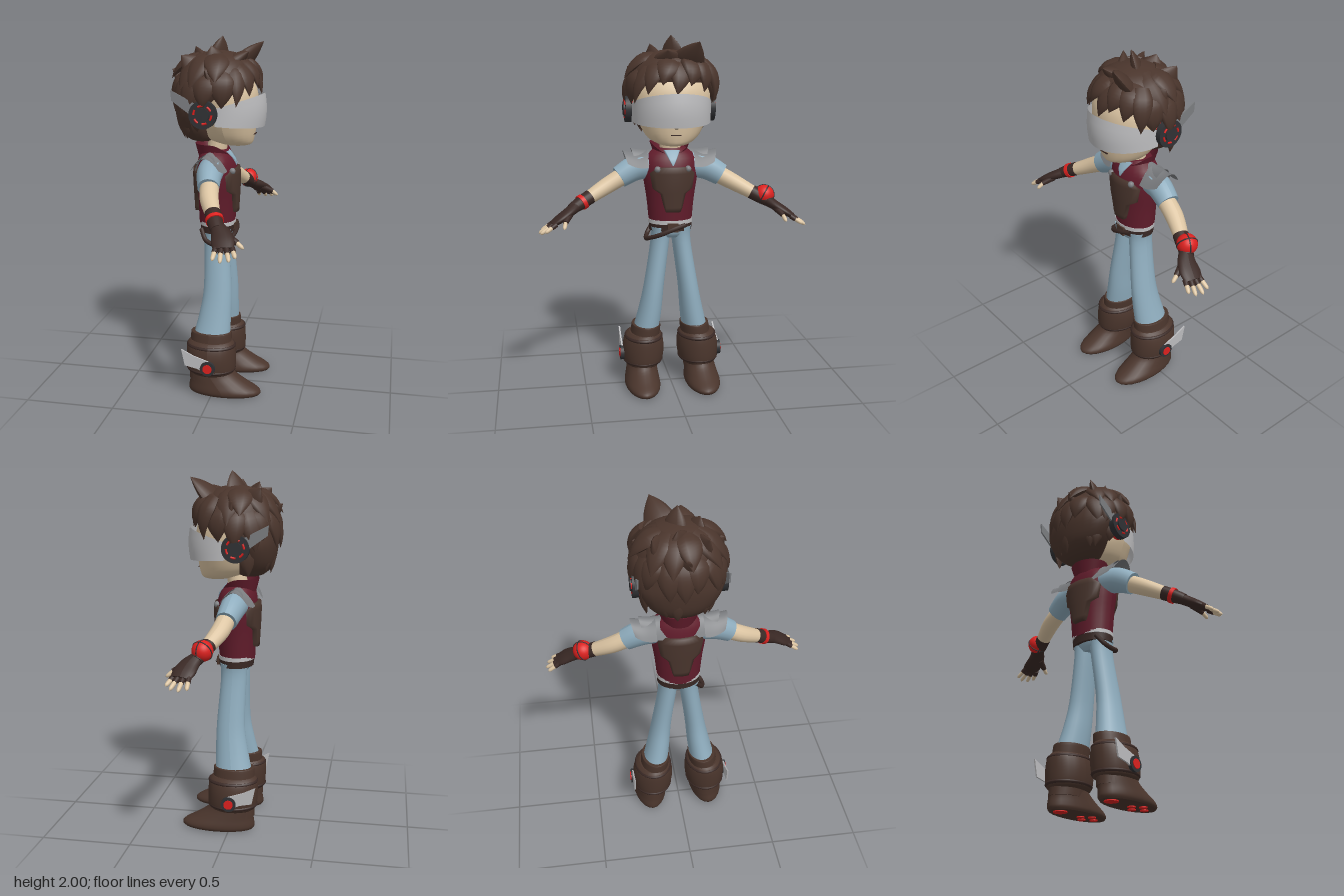
import * as THREE from 'three';

const mat = (name, color, side = THREE.FrontSide) => Object.assign(new THREE.MeshStandardMaterial({ color, side }), { name });
const V = (x, y, z) => new THREE.Vector3(x, y, z);

// Skin over elliptical rings [x, y, z, radiusU, radiusV]; level keeps the rings horizontal
function loft(rings, { ref = V(0, 0, 1), level = false, steps = 4, seg = 24 } = {}) {
  const at = i => rings[Math.min(Math.max(i, 0), rings.length - 1)];
  const list = [];
  for (let i = 0; i < rings.length - 1; i++) {
    for (let k = 0; k < steps; k++) {
      const t = k / steps, [a, b, c, d] = [at(i - 1), at(i), at(i + 1), at(i + 2)];
      list.push(b.map((_, j) => b[j] + 0.5 * t * (c[j] - a[j] + t * (2 * a[j] - 5 * b[j] + 4 * c[j] - d[j] + t * (3 * (b[j] - c[j]) + d[j] - a[j])))));
    }
  }
  list.push(at(rings.length));
  const pos = [], idx = [], n = list.length, w = seg + 1;
  const row = i => {
    const r = list[i], a = list[Math.max(i - 1, 0)], b = list[Math.min(i + 1, n - 1)];
    const t = level ? V(0, Math.sign(b[1] - a[1]), 0) : V(b[0] - a[0], b[1] - a[1], b[2] - a[2]).normalize();
    const u = ref.clone().cross(t).normalize(), v = t.clone().cross(u);
    for (let j = 0; j <= seg; j++) {
      const q = (j % seg) / seg * Math.PI * 2;
      const p = V(r[0], r[1], r[2]).addScaledVector(u, Math.cos(q) * Math.max(r[3], 0.0003)).addScaledVector(v, Math.sin(q) * Math.max(r[4], 0.0003));
      pos.push(p.x, p.y, p.z);
    }
  };
  for (let i = 0; i < n; i++) row(i);
  for (let i = 0; i < n - 1; i++) for (let j = 0; j < seg; j++) {
    const a = i * w + j, b = a + w;
    idx.push(a, a + 1, b + 1, a, b + 1, b);
  }
  for (const end of [0, n - 1]) {
    const s = pos.length / 3;
    row(end);
    pos.push(...list[end].slice(0, 3));
    for (let j = 0; j < seg; j++) idx.push(s + w, ...(end ? [s + j, s + j + 1] : [s + j + 1, s + j]));
  }
  const g = new THREE.BufferGeometry();
  g.setAttribute('position', new THREE.Float32BufferAttribute(pos, 3));
  g.setIndex(idx);
  g.computeVertexNormals();
  return g;
}

// Grid surface from a rule (u, v in 0..1) -> [x, y, z]
function sheet(nu, nv, rule) {
  const g = new THREE.PlaneGeometry(1, 1, nu, nv), p = g.attributes.position;
  for (let i = 0; i < p.count; i++) p.setXYZ(i, ...rule(p.getX(i) + 0.5, p.getY(i) + 0.5));
  g.computeVertexNormals();
  return g;
}

const torsoRings = [[0, 0.96, -0.01, 0.122, 0.1], [0, 1.1, -0.01, 0.135, 0.107], [0, 1.24, -0.01, 0.155, 0.115],
  [0, 1.33, -0.015, 0.15, 0.1], [0, 1.385, -0.025, 0.085, 0.07]];

// Plate hugging the torso; rows are [y, halfWidth], dir is 1 for front and -1 for back
function torsoPlate(rows, dir, thick) {
  const R = [rows[0], ...rows, rows[rows.length - 1]], n = R.length - 1, m = 12;
  return sheet(m, n, (u, v) => {
    const i = Math.round(v * n), j = Math.round(u * m), [y, w] = R[i];
    const edge = i === 0 || i === n || j === 0 || j === m;
    const x = w * dir * (Math.min(Math.max(j, 1), m - 1) - m / 2) / (m / 2 - 1);
    let k = torsoRings.findIndex(r => r[1] > y) - 1;
    const a = torsoRings[k], b = torsoRings[k + 1], f = (y - a[1]) / (b[1] - a[1]);
    const [cz, rx, rz] = [2, 3, 4].map(q => a[q] + (b[q] - a[q]) * f);
    return [x, y, cz + dir * (rz * Math.sqrt(Math.max(0, 1 - (x / rx) ** 2)) + (edge ? -0.005 : thick))];
  });
}

export function createModel() {
  const brown = mat('brown', 0x4a352c), dark = mat('dark brown leather', 0x3a2925), skin = mat('skin', 0xdcc5a3);
  const blue = mat('pale blue cloth', 0x8fadbe, THREE.DoubleSide), maroon = mat('maroon cloth', 0x611c2b, THREE.DoubleSide);
  const visorGrey = mat('light grey', 0xbcbcbe, THREE.DoubleSide), grey = mat('armour grey', 0x7b7d80, THREE.DoubleSide);
  const charcoal = mat('charcoal', 0x303134), red = mat('red', 0xdc211f), plateBrown = mat('plate brown', 0x49352d, THREE.DoubleSide);
  const body = new THREE.Group();
  body.name = 'figure';
  const add = (name, geo, m, x = 0, y = 0, z = 0) => {
    const o = new THREE.Mesh(geo, m);
    o.name = name;
    o.position.set(x, y, z);
    body.add(o);
    return o;
  };
  const flat = { level: true };
  const disc = (r, h) => new THREE.CylinderGeometry(r, r, h, 28).rotateZ(Math.PI / 2);
  // Thin upright plate drawn in side profile as [z, y] points
  const sidePlate = pts => new THREE.ExtrudeGeometry(new THREE.Shape(pts.map(p => new THREE.Vector2(...p))), { depth: 0.009, bevelEnabled: false }).rotateY(-Math.PI / 2);

  // Head
  add('head', loft([[0, 1.405, 0.1, 0, 0], [0, 1.415, 0.1, 0.07, 0.075], [0, 1.45, 0.065, 0.135, 0.13], [0, 1.52, 0.05, 0.178, 0.157],
    [0, 1.6, 0.05, 0.205, 0.165], [0, 1.72, 0.03, 0.21, 0.175], [0, 1.82, 0.02, 0.15, 0.12]], flat), skin);
  add('neck', loft([[0, 1.33, -0.02, 0.06, 0.055], [0, 1.47, 0, 0.058, 0.055]], flat), skin);
  add('nose', loft([[0, 1.57, 0.21, 0.006, 0.008], [0, 1.525, 0.213, 0.014, 0.018], [0, 1.505, 0.2, 0.008, 0.006]], flat), skin);
  add('mouth', new THREE.BoxGeometry(0.055, 0.005, 0.009), dark, 0, 1.475, 0.2);
  add('visor', sheet(32, 4, (u, v) => {
    const a = (u - 0.5) * Math.PI, c = Math.cos(a), lo = 1.535 - 0.018 * c, hi = 1.63 + 0.068 * c;
    return [0.218 * Math.sin(a), lo + (hi - lo) * v, 0.02 + (0.232 + 0.01 * Math.sin(v * Math.PI)) * c];
  }), visorGrey);
  for (const s of [-1, 1]) {
    add('earpiecePad', disc(0.07, 0.02), red, s * 0.208, 1.6, -0.04);
    add('earpiece', disc(0.075, 0.035), charcoal, s * 0.232, 1.6, -0.04);
    add('earpieceHub', disc(0.037, 0.012), charcoal, s * 0.253, 1.6, -0.04);
    for (let i = 0; i < 6; i++) {
      add('earpieceLight', new THREE.TorusGeometry(0.048, 0.006, 6, 8, 0.6).rotateZ(i * Math.PI / 3).rotateY(Math.PI / 2), red, s * 0.25, 1.6, -0.04);
    }
    add('earpieceFin', sidePlate([[-0.07, 1.57], [-0.07, 1.65], [-0.215, 1.725], [-0.21, 1.67]]), grey, s * 0.232 + 0.004);
  }

  // Hair: a cap covered with tapering locks
  add('hairCap', loft([[0, 1.425, -0.09, 0, 0], [0, 1.44, -0.09, 0.1, 0.07], [0, 1.5, -0.11, 0.17, 0.105], [0, 1.6, -0.115, 0.22, 0.12], [0, 1.68, -0.06, 0.235, 0.175],
    [0, 1.76, -0.015, 0.235, 0.205], [0, 1.84, -0.005, 0.2, 0.185], [0, 1.9, 0, 0.12, 0.115], [0, 1.925, 0, 0, 0]], flat), brown);
  const lock = (b, e, w, bulge = 0.04) => {
    const A = V(...b), E = V(...e), centre = V(0, 1.68, -0.01);
    const mid = A.clone().lerp(E, 0.5), out = mid.clone().sub(centre).normalize();
    const curve = new THREE.QuadraticBezierCurve3(A, mid.addScaledVector(out, bulge), E);
    const rings = [0.7, 1, 0.85, 0.5, 0].map((k, i) => [...curve.getPoint(i / 4).toArray(), w * k, w * k * 0.45]);
    add('hairLock', loft(rings, { ref: out, seg: 10, steps: 3 }), brown);
  };
  for (const [y0, r0, y1, r1, n, range, w] of [[1.89, 0.1, 1.74, 0.262, 8, 1.75, 0.072], [1.8, 0.19, 1.6, 0.25, 9, 1.45, 0.066], [1.67, 0.19, 1.47, 0.2, 8, 1.2, 0.055]]) {
    for (let i = 0; i < n; i++) {
      const a = (i / (n - 1) * 2 - 1) * range, b = a + 0.12 * Math.sin(i * 2.4), dy = 0.03 * Math.sin(i * 4.1 + y0);
      lock([Math.sin(a) * r0, y0, -Math.cos(a) * r0 * 0.9 - 0.01], [Math.sin(b) * r1, y1 + dy, -Math.cos(b) * r1 * 0.93 - 0.015], w);
    }
  }
  for (const [b, e, w] of [ // crown spikes
    [[0.02, 1.84, -0.02], [0, 1.998, 0.02], 0.07], [[0.06, 1.82, 0.08], [0.12, 1.965, 0.225], 0.085], [[-0.08, 1.82, 0], [-0.11, 1.95, -0.02], 0.07],
    [[0, 1.8, -0.08], [0.02, 1.94, -0.135], 0.08], [[-0.1, 1.8, -0.08], [-0.13, 1.9, -0.18], 0.07], [[0.1, 1.8, -0.08], [0.15, 1.91, -0.16], 0.07],
    [[0.15, 1.78, 0], [0.235, 1.84, -0.02], 0.07], [[-0.15, 1.78, 0], [-0.235, 1.83, -0.03], 0.07], [[0, 1.74, -0.14], [-0.03, 1.82, -0.255], 0.07],
    [[-0.02, 1.84, 0.06], [-0.04, 1.92, 0.17], 0.09]]) lock(b, e, w, 0.01);
  for (const [x, y, w] of [[-0.215, 1.64, 0.055], [-0.15, 1.69, 0.065], [-0.075, 1.74, 0.07], [0.0, 1.69, 0.072], [0.075, 1.735, 0.07], [0.15, 1.7, 0.065], [0.215, 1.64, 0.055]]) {
    lock([x * 0.6 + 0.04, 1.86, 0.09], [x, y, 0.235 * Math.sqrt(1 - (x / 0.26) ** 2)], w, 0.07); // fringe
  }
  for (const s of [-1, 1]) lock([s * 0.18, 1.81, 0.05], [s * 0.222, 1.63, 0.055], 0.075, 0.04);

  // Torso
  add('vest', loft(torsoRings, flat), maroon);
  add('shirtFront', torsoPlate([[1.295, 0.003], [1.33, 0.022], [1.375, 0.045]], 1, 0.007), blue);
  const chest = [[1.035, 0.04], [1.06, 0.05], [1.14, 0.07], [1.165, 0.11], [1.25, 0.125], [1.285, 0.085]];
  add('chestPlate', torsoPlate(chest, 1, 0.018), plateBrown);
  add('backPlate', torsoPlate(chest, -1, 0.022), plateBrown);
  for (const s of [-1, 1]) add('chestClasp', new THREE.SphereGeometry(0.018, 12, 8), grey, s * 0.085, 1.275, 0.09);
  add('collar', sheet(40, 3, (u, v) => {
    const a = u * Math.PI * 2, f = Math.max(0, Math.cos(a));
    return [(0.088 + 0.025 * v) * Math.sin(a), 1.345 + 0.072 * v - f * f * (0.02 + 0.045 * v), -0.032 + (0.083 + 0.018 * v) * Math.cos(a)];
  }), maroon);

  // Belt and hips
  add('hips', loft([[0, 0.88, 0, 0.075, 0.06], [0, 0.91, 0, 0.11, 0.08], [0, 0.97, -0.005, 0.116, 0.09]], flat), blue);
  add('waistband', loft([[0, 0.96, -0.008, 0.126, 0.102], [0, 0.982, -0.008, 0.126, 0.102]], { level: true, steps: 1 }), visorGrey);
  add('belt', loft([[0, 0.92, -0.006, 0.121, 0.096], [0, 0.966, -0.006, 0.123, 0.1]], { level: true, steps: 1 }), dark);
  add('buckle', new THREE.BoxGeometry(0.06, 0.05, 0.02), brown, 0, 0.943, 0.092);
  const strap = [[0.07, 0.955, 0.085], [0, 0.935, 0.102], [-0.07, 0.905, 0.09], [-0.125, 0.88, 0.045], [-0.14, 0.868, 0], [-0.128, 0.885, -0.05], [-0.09, 0.94, -0.085]];
  add('slungStrap', new THREE.TubeGeometry(new THREE.CatmullRomCurve3(strap.map(p => V(...p))), 40, 0.013, 8), dark);

  for (const s of [-1, 1]) {
    // Shoulder armour in two overlapping layers
    for (const [k, x0, x1, lift, half] of [[0, 0.06, 0.22, 0.012, 0.085], [1, 0.13, 0.265, 0, 0.1]]) {
      add('shoulderPad', sheet(8, 16, (u, v) => {
        const q = v * 2 - 1, x = x0 + (x1 - x0) * u * (1 - 0.16 * q * q);
        return [s * x, 1.372 + lift - (0.11 - 0.02 * k) * q * q * (1 - 0.25 * u) - 0.012 * Math.sin(u * 3), -0.03 + half * q * (1 - 0.25 * u * u)];
      }), grey);
    }
    // Arms and hands
    const arm = pts => loft(pts.map(([x, ...r]) => [s * x, ...r]), { seg: 18 });
    add('sleeve', arm([[0.11, 1.285, -0.02, 0.075, 0.072], [0.2, 1.27, -0.015, 0.072, 0.068], [0.29, 1.222, 0, 0.062, 0.058]]), blue);
    add('arm', arm([[0.25, 1.24, 0, 0.05, 0.05], [0.36, 1.18, 0.02, 0.046, 0.05], [0.48, 1.115, 0.07, 0.036, 0.038]]), skin);
    add('gloveCuff', arm([[0.455, 1.13, 0.06, 0.04, 0.043], [0.51, 1.1, 0.082, 0.037, 0.042], [0.56, 1.072, 0.105, 0.03, 0.036]]), dark);
    add('gloveHand', arm([[0.54, 1.082, 0.1, 0.03, 0.036], [0.585, 1.055, 0.13, 0.027, 0.052], [0.63, 1.028, 0.148, 0.023, 0.06], [0.67, 1.004, 0.158, 0.015, 0.05]]), dark);
    for (const [i, tx, tz] of [[0, 0.73, 0.113], [1, 0.742, 0.155], [2, 0.733, 0.198], [3, 0.708, 0.225]]) {
      const bz = 0.118 + i * 0.026, bx = 0.657 - (i === 3 ? 0.01 : 0), ty = 0.955 + (0.742 - tx) * 0.5;
      const mix = t => [bx + (tx - bx) * t, 1.01 + (ty - 1.01) * t, bz + (tz - bz) * t];
      add('gloveFinger', arm([[...mix(0), 0.014, 0.015], [...mix(0.42), 0.013, 0.014]]), dark);
      add('fingertip', arm([[...mix(0.35), 0.011, 0.012], [...mix(0.85), 0.01, 0.01], [...mix(1), 0, 0]]), skin);
    }
    add('gloveThumb', arm([[0.575, 1.05, 0.15, 0.02, 0.022], [0.6, 1.02, 0.215, 0.014, 0.015]]), dark);
    add('thumbTip', arm([[0.597, 1.025, 0.205, 0.011, 0.012], [0.605, 1.0, 0.238, 0.01, 0.01], [0.606, 0.993, 0.25, 0, 0]]), skin);

    // Legs
    add('trouserLeg', loft([[0.058, 0.94, 0, 0.06, 0.078], [0.062, 0.85, 0, 0.053, 0.073], [0.098, 0.6, 0.01, 0.057, 0.08], [0.12, 0.45, 0, 0.066, 0.092], [0.142, 0.33, -0.015, 0.074, 0.105]]
      .map(([x, ...r]) => [s * x, ...r]), flat), blue);
    // Boots
    const boot = (name, pts, m) => add(name, loft(pts.map(([x, ...r]) => [s * x, ...r]), flat), m);
    boot('bootShaft', [[0.168, 0.08, -0.02, 0.085, 0.118], [0.16, 0.2, -0.018, 0.085, 0.118], [0.143, 0.34, -0.017, 0.084, 0.118], [0.142, 0.358, -0.017, 0.08, 0.113]], brown);
    boot('bootFoot', [[0.175, 0.006, 0.068, 0.092, 0.2], [0.175, 0.02, 0.068, 0.1, 0.208], [0.175, 0.04, 0.06, 0.1, 0.2], [0.173, 0.075, 0.03, 0.093, 0.165], [0.17, 0.12, -0.003, 0.086, 0.132], [0.166, 0.17, -0.015, 0.083, 0.118]], brown);
    boot('bootCuff', [[0.165, 0.12, -0.012, 0.092, 0.122], [0.163, 0.145, -0.012, 0.113, 0.138], [0.16, 0.22, -0.014, 0.12, 0.142], [0.157, 0.285, -0.016, 0.108, 0.138], [0.155, 0.31, -0.016, 0.085, 0.12]], brown);
    for (const [x, y, rx, rz] of [[0.163, 0.147, 0.117, 0.142], [0.157, 0.285, 0.112, 0.142]]) {
      boot('cuffTrim', [[x, y - 0.01, -0.014, rx - 0.006, rz - 0.006], [x, y, -0.014, rx, rz], [x, y + 0.01, -0.014, rx - 0.006, rz - 0.006]], dark);
    }
    add('bootFin', sidePlate([[-0.01, 0.15], [0, 0.225], [-0.09, 0.255], [-0.16, 0.29], [-0.14, 0.195], [-0.07, 0.18]]), visorGrey, s * 0.283 + 0.004);
    add('bootClasp', disc(0.042, 0.03), charcoal, s * 0.28, 0.185, -0.01);
    add('bootLight', disc(0.026, 0.012), red, s * 0.294, 0.185, -0.01);
    // Sole lights
    for (const [dx, z, r] of [[0, 0.2, 0.022], [-0.038, 0.145, 0.022], [0.038, 0.145, 0.022], [0, 0.095, 0.022], [0, -0.065, 0.038]]) {
      add('soleLight', new THREE.CylinderGeometry(r, r, 0.008, 20), red, s * 0.175 + dx, 0.004, z);
    }
  }

  // Wrist dome on the left, wrist band on the right
  const dome = new THREE.Group();
  dome.name = 'wristDome';
  const ball = new THREE.Mesh(new THREE.SphereGeometry(0.056, 28, 18), red);
  ball.name = 'domeBall';
  dome.add(ball);
  for (const a of [0, Math.PI / 2]) {
    const ring = new THREE.Mesh(new THREE.TorusGeometry(0.055, 0.004, 6, 32).rotateY(a), charcoal);
    ring.name = 'domeRing';
    dome.add(ring);
  }
  dome.position.set(0.525, 1.115, 0.077);
  dome.rotation.set(0, -0.4, -0.45);
  body.add(dome);
  add('wristBand', loft([[-0.492, 1.11, 0.075, 0.043, 0.047], [-0.51, 1.1, 0.083, 0.043, 0.047]], { steps: 1 }), red);

  // The figure faces +x
  body.rotation.y = Math.PI / 2;
  const model = new THREE.Group();
  model.name = 'model';
  model.add(body);
  return model;
}
